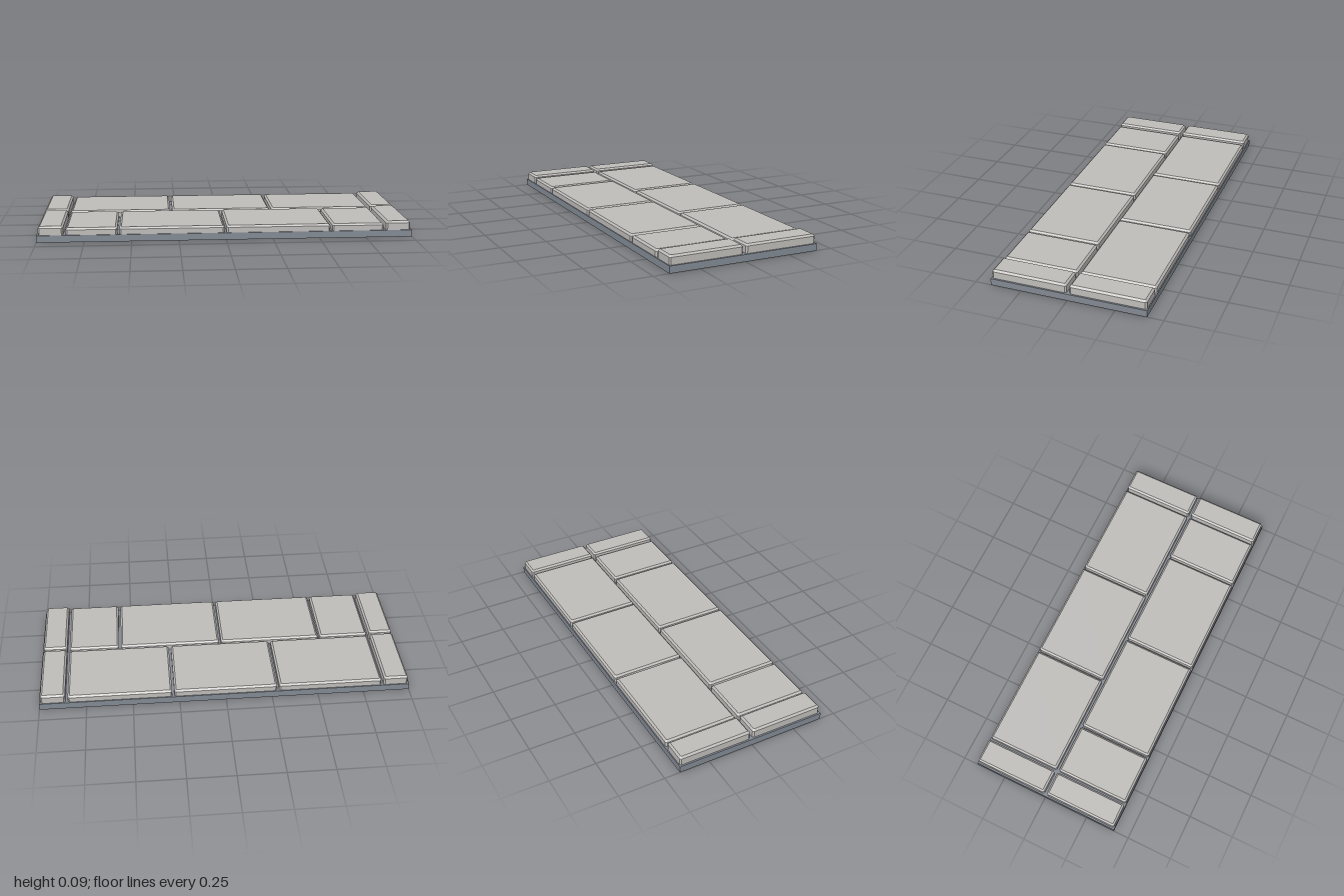
import * as THREE from 'three';

const BASE_TOP = 0.037, BEVEL = 0.01, CHAMFER = 0.008;

// Stone block with a bevelled top rim and chamfered upright corners; its foot is sunk into the base
function blockGeometry(x0, x1, z0, z1, top) {
  const w = (x1 - x0) / 2, d = (z1 - z0) / 2, c = CHAMFER;
  const outline = [
    [w - c, -d], [w, -d + c], [w, d - c], [w - c, d],
    [-w + c, d], [-w, d - c], [-w, -d + c], [-w + c, -d],
  ].map(([x, y]) => new THREE.Vector2(x, y));
  const foot = BASE_TOP - 0.015;
  const geo = new THREE.ExtrudeGeometry(new THREE.Shape(outline), {
    depth: top - foot - 2 * BEVEL,
    bevelEnabled: true, bevelSegments: 1,
    bevelThickness: BEVEL, bevelSize: BEVEL, bevelOffset: -BEVEL,
  });
  geo.rotateX(-Math.PI / 2);
  geo.translate((x0 + x1) / 2, foot + BEVEL, (z0 + z1) / 2);
  return geo;
}

export function createModel() {
  const model = new THREE.Group();
  model.name = 'pavedWalkway';
  const stone = new THREE.MeshStandardMaterial({ color: 0xbfbdba });
  stone.name = 'paleStone';
  const mortar = new THREE.MeshStandardMaterial({ color: 0x838a93 });
  mortar.name = 'greyMortar';

  const add = (name, geo, mat) => {
    const mesh = new THREE.Mesh(geo, mat);
    mesh.name = name;
    model.add(mesh);
  };

  // Mortar slab
  const slab = new THREE.BoxGeometry(2, BASE_TOP, 0.83);
  slab.translate(0, BASE_TOP / 2, 0);
  add('baseSlab', slab, mortar);

  // Two rows of paving in running bond, with raised kerbs at both ends
  const rows = [
    { name: 'front', z: [0.008, 0.41], joints: [-0.852, -0.57, -0.003, 0.564, 0.852] },
    { name: 'back', z: [-0.41, -0.008], joints: [-0.852, -0.282, 0.284, 0.852] },
  ];
  const gap = 0.006;
  for (const { name, z, joints } of rows) {
    for (let i = 0; i < joints.length - 1; i++) {
      add(`${name}Paver${i + 1}`, blockGeometry(joints[i] + gap, joints[i + 1] - gap, ...z, 0.075), stone);
    }
    add(`${name}KerbLeft`, blockGeometry(0.86, 0.991, ...z, 0.085), stone);
    add(`${name}KerbRight`, blockGeometry(-0.991, -0.86, ...z, 0.085), stone);
  }
  return model;
}
